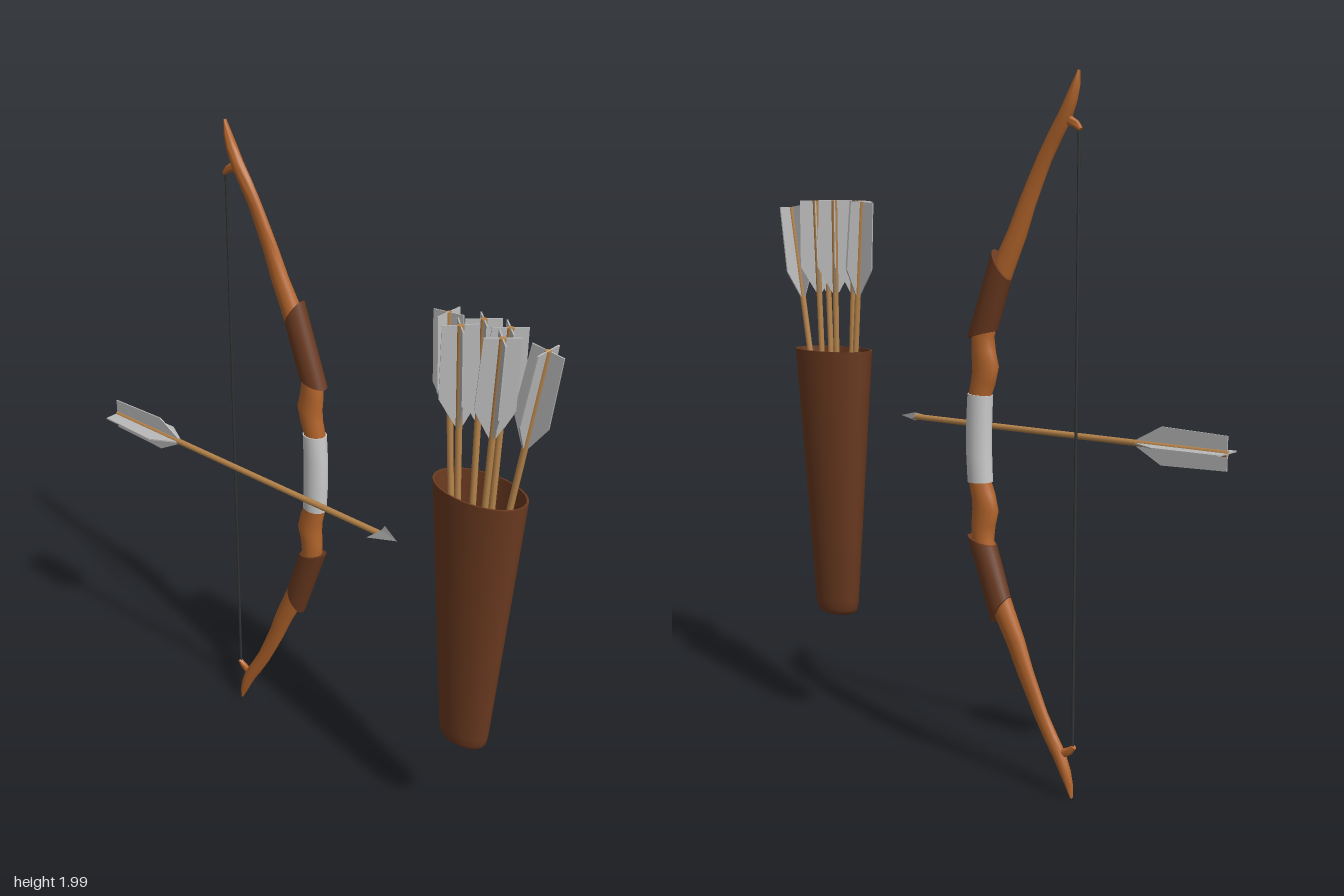
import * as THREE from 'three';
import { toCreasedNormals } from 'three/addons/utils/BufferGeometryUtils.js';

const mat = (color, extra = {}) => new THREE.MeshStandardMaterial({ color, ...extra });
const wood = mat(0xb5662c), leather = mat(0x6b3a20), grey = mat(0xcccccc);
const shaftWood = mat(0xb5834a), steel = mat(0x7c7c7c, { flatShading: true });
const feather = mat(0xbababa, { side: THREE.DoubleSide }), cord = mat(0x333333);
const MID = 1.005; // height of the bow's mirror plane

function add(parent, name, geometry, material) {
  const mesh = new THREE.Mesh(geometry, material);
  mesh.name = name;
  parent.add(mesh);
  return mesh;
}

// Elliptical sweep in the xy plane; section = [x, y, z, radius, depth radius, end slant]
function sweep(sections, sides = 14) {
  const pos = [], idx = [];
  const row = sides + 1;
  const rings = sections.map(([x, y, z, ra, rb, slant = 0], i) => {
    const a = sections[Math.max(i - 1, 0)], b = sections[Math.min(i + 1, sections.length - 1)];
    const t = new THREE.Vector2(b[0] - a[0], b[1] - a[1]).normalize();
    return Array.from({ length: row }, (_, j) => {
      const ang = (j % sides) / sides * Math.PI * 2, c = Math.cos(ang), s = Math.sin(ang);
      return [x - t.y * c * ra + t.x * c * slant, y + t.x * c * ra + t.y * c * slant, z + s * rb];
    });
  });
  rings.forEach((ring) => ring.forEach((p) => pos.push(...p)));
  for (let i = 0; i < rings.length - 1; i++) {
    for (let j = 0; j < sides; j++) {
      const a = i * row + j, c = a + row;
      idx.push(a, a + 1, c, a + 1, c + 1, c);
    }
  }
  // end caps
  [0, rings.length - 1].forEach((k) => {
    const start = pos.length / 3;
    rings[k].forEach((p) => pos.push(...p));
    pos.push(...sections[k].slice(0, 3));
    for (let j = 0; j < sides; j++) {
      const a = start + j, m = start + row;
      if (k === 0) idx.push(m, a + 1, a); else idx.push(m, a, a + 1);
    }
  });
  const g = new THREE.BufferGeometry();
  g.setAttribute('position', new THREE.Float32BufferAttribute(pos, 3));
  g.setIndex(idx);
  return toCreasedNormals(g, 0.9);
}

const flip = (list) => list.map(([x, y, z, a, b, s = 0]) => [x, 2 * MID - y, z, a, b, -s]).reverse();

function buildBow() {
  const bow = new THREE.Group();
  bow.name = 'bow';
  const limb = [
    [-0.060, 1.13, -0.086, 0.035, 0.028], [-0.072, 1.17, -0.086, 0.038, 0.028],
    [-0.079, 1.21, -0.086, 0.042, 0.029], [-0.072, 1.25, -0.086, 0.038, 0.028],
    [-0.070, 1.30, -0.086, 0.035, 0.028], [-0.103, 1.40, -0.085, 0.034, 0.027],
    [-0.145, 1.50, -0.081, 0.033, 0.025], [-0.182, 1.58, -0.077, 0.030, 0.020],
    [-0.213, 1.66, -0.074, 0.027, 0.016], [-0.240, 1.72, -0.072, 0.025, 0.014],
    [-0.268, 1.78, -0.070, 0.023, 0.013], [-0.302, 1.84, -0.068, 0.022, 0.015],
    [-0.330, 1.885, -0.067, 0.021, 0.016], [-0.350, 1.93, -0.066, 0.017, 0.015],
    [-0.362, 1.965, -0.065, 0.012, 0.011], [-0.371, 2.0, -0.065, 0.003, 0.005],
  ];
  add(bow, 'bowStave', sweep([...flip(limb), [-0.055, MID, -0.086, 0.035, 0.028], ...limb]), wood);

  const grip = [[-0.056, 1.05, -0.086, 0.040, 0.032], [-0.060, 1.13, -0.086, 0.039, 0.032]];
  add(bow, 'grip', sweep([...flip(grip), ...grip]), grey);

  // leather wraps and string hooks on both limbs
  const wrap = [[-0.068, 1.298, -0.087, 0.041, 0.033, 0.027], [-0.135, 1.493, -0.085, 0.040, 0.031, -0.031]];
  const hook = [[-0.315, 1.876, -0.067, 0.020, 0.012], [-0.345, 1.873, -0.066, 0.013, 0.010],
    [-0.365, 1.862, -0.066, 0.011, 0.009], [-0.379, 1.848, -0.066, 0.007, 0.007]];
  [['upper', (l) => l], ['lower', flip]].forEach(([side, f]) => {
    add(bow, side + 'LeatherWrap', sweep(f(wrap)), leather);
    add(bow, side + 'StringHook', sweep(f(hook)), wood);
  });

  add(bow, 'bowString', new THREE.CylinderGeometry(0.004, 0.004, 1.71, 8), cord).position.set(-0.374, MID, -0.066);
  return bow;
}

// Flat arrowhead with a central ridge and swept-back barbs, pointing down
function headGeometry() {
  const tip = [0, -1.135, 0], left = [0, -1.06, 0.04], right = [0, -1.06, -0.04];
  const notch = [0, -1.075, 0], front = [0.013, -1.08, 0], back = [-0.013, -1.08, 0];
  const faces = [
    [tip, front, left], [tip, right, front], [left, front, notch], [notch, front, right],
    [tip, left, back], [tip, back, right], [left, notch, back], [notch, right, back],
  ];
  const g = new THREE.BufferGeometry();
  // wind each face so it looks away from the ridge line
  const pos = faces.flatMap((f) => {
    const [a, b, c] = f.map((p) => new THREE.Vector3(...p));
    const n = b.clone().sub(a).cross(c.clone().sub(a));
    const outward = f.includes(front) ? 1 : -1;
    return (n.x * outward >= 0 ? f : [f[0], f[2], f[1]]).flat();
  });
  g.setAttribute('position', new THREE.Float32BufferAttribute(pos, 3));
  g.computeVertexNormals();
  return g;
}

// Arrow from its tail towards a target point; twist turns the feathers
function buildArrow(name, tail, target, twist = 0) {
  const arrow = new THREE.Group();
  arrow.name = name;
  add(arrow, 'shaft', new THREE.CylinderGeometry(0.009, 0.009, 1.08, 10), shaftWood).position.y = -0.54;
  add(arrow, 'arrowhead', headGeometry(), steel);
  const outline = [[0.047, 0], [0.053, -0.2], [0.01, -0.278]];
  const pts = [...outline, ...outline.map(([x, y]) => [-x, y]).reverse()];
  const shape = new THREE.Shape(pts.map(([x, y]) => new THREE.Vector2(x, y)));
  const vane = new THREE.ExtrudeGeometry(shape, { depth: 0.004, bevelEnabled: false }).translate(0, 0, -0.002);
  for (let i = 0; i < 2; i++) add(arrow, 'feathers', vane, feather).rotation.y = i * Math.PI / 2;
  arrow.position.set(...tail);
  const dir = new THREE.Vector3(...target).sub(arrow.position).normalize();
  arrow.quaternion.setFromUnitVectors(new THREE.Vector3(0, -1, 0), dir);
  arrow.rotateY(twist);
  return arrow;
}

function buildQuiver() {
  const quiver = new THREE.Group();
  quiver.name = 'quiver';
  // oval tapered case with a hollow inside
  const profile = [[0, 0.375], [0.055, 0.375], [0.07, 0.381], [0.077, 0.393], [0.081, 0.42],
    [0.142, 1.215], [0.135, 1.215], [0.074, 0.44], [0, 0.44]];
  const lathe = new THREE.LatheGeometry(profile.map(([x, y]) => new THREE.Vector2(x, y)), 36);
  const body = add(quiver, 'quiverCase', toCreasedNormals(lathe, 0.8), leather);
  body.scale.z = 0.6;
  body.position.set(0.567, 0, -0.03);

  // tail x, y, z, then x and z lower in the case, then twist
  const q = Math.PI / 4;
  [
    [0.422, 1.665, -0.05, 0.520, -0.03, 0], [0.722, 1.65, -0.05, 0.565, -0.03, 0],
    [0.500, 1.67, 0.005, 0.535, -0.015, q], [0.520, 1.67, -0.065, 0.540, -0.045, q],
    [0.622, 1.67, 0.0, 0.575, -0.015, q], [0.600, 1.67, -0.065, 0.580, -0.045, q],
  ].forEach(([x, y, z, bx, bz, twist]) => {
    quiver.add(buildArrow('quiverArrow', [x, y, z], [bx, 0.55, bz], twist));
  });
  return quiver;
}

export function createModel() {
  const model = new THREE.Group();
  model.name = 'archerySet';
  model.add(buildBow(), buildArrow('looseArrow', [-0.762, 1.015, 0.065], [0.37, 1.015, 0.065]), buildQuiver());
  return model;
}
